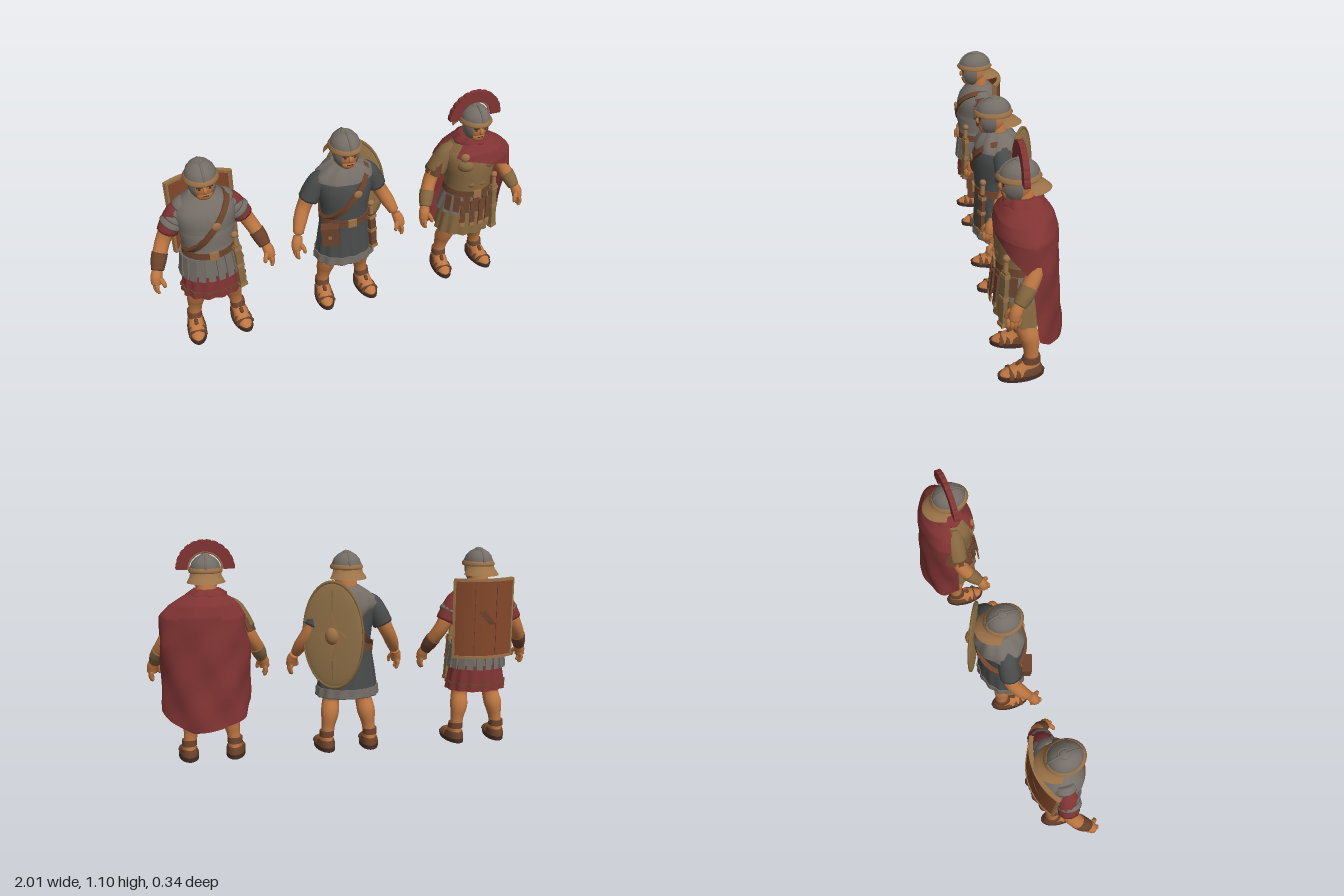
import * as THREE from 'three';
import { mergeVertices } from 'three/addons/utils/BufferGeometryUtils.js';
import { ParametricGeometry } from 'three/addons/geometries/ParametricGeometry.js';

const PI = Math.PI, V = (x, y, z) => new THREE.Vector3(x, y, z);
const M = {};
const palette = { skin: 0xbd7642, steel: 0x756e67, darkCloth: 0x494c4b, red: 0x803433, bronze: 0x9c7248,
  khaki: 0x866840, leather: 0x6c432c, darkLeather: 0x493026, shieldBrown: 0x84482a, shieldTan: 0x94744a };
for (const [name, color] of Object.entries(palette)) {
  M[name] = new THREE.MeshStandardMaterial({ color, side: THREE.DoubleSide });
  M[name].name = name;
}

function add(g, name, geo, mat, pos = [0, 0, 0], rot = [0, 0, 0], scale = [1, 1, 1]) {
  const m = new THREE.Mesh(geo, mat);
  m.name = name;
  m.position.set(...pos); m.rotation.set(...rot); m.scale.set(...scale);
  g.add(m);
  return m;
}

// Elliptical cross-sections [y, rx, rz, cz, waveAmp] joined in loops; angle 0 faces +z, growing toward +x
function loft(sections, { waves = 0, a0 = 0, a1 = 2 * PI, n = 40 } = {}) {
  let s = sections.map(r => [...r]);
  if (s[0][0] > s[s.length - 1][0]) s.reverse();
  if (a1 - a0 > 6.28) {
    const f = s[0], l = s[s.length - 1];
    s = [[f[0], 0, 0, f[3]], [...f], ...s, [...l], [l[0], 0, 0, l[3]]];
  }
  const p = [], idx = [];
  s.forEach(([y, rx, rz, cz = 0, amp = 0], i) => {
    for (let j = 0; j <= n; j++) {
      const a = a0 + (a1 - a0) * j / n, k = amp * Math.sin(a * waves);
      p.push((rx + k) * Math.sin(a), y, cz + (rz + k) * Math.cos(a));
      if (i && j) {
        const b = i * (n + 1) + j, d = b - n - 1;
        idx.push(d - 1, d, b, d - 1, b, b - 1);
      }
    }
  });
  const geo = new THREE.BufferGeometry();
  geo.setAttribute('position', new THREE.Float32BufferAttribute(p, 3));
  geo.setIndex(idx);
  geo.computeVertexNormals();
  return geo;
}

// Round limb through points [x, y, z, radius]
function limb(pts, sides = 12, rows = 16) {
  const curve = new THREE.CatmullRomCurve3(pts.map(p => V(p[0], p[1], p[2])));
  const geo = new THREE.TubeGeometry(curve, rows, 1, sides), pos = geo.attributes.position, v = V(0, 0, 0);
  for (let i = 0; i <= rows; i++) {
    const t = i / rows, c = curve.getPointAt(t), f = t * (pts.length - 1), k = Math.min(Math.floor(f), pts.length - 2);
    const r = i % rows ? THREE.MathUtils.lerp(pts[k][3], pts[k + 1][3], f - k) : 0;
    for (let j = 0; j <= sides; j++) {
      const id = i * (sides + 1) + j;
      v.fromBufferAttribute(pos, id).sub(c).multiplyScalar(r).add(c);
      pos.setXYZ(id, v.x, v.y, v.z);
    }
  }
  geo.deleteAttribute('uv'); geo.deleteAttribute('normal');
  const out = mergeVertices(geo);
  out.computeVertexNormals();
  return out;
}
const mirror = (pts, s) => pts.map(([x, y, z, r]) => [x * s, y, z, r]);
const ball = new THREE.SphereGeometry(1, 20, 14);
const box = (w, h, d) => new THREE.BoxGeometry(w, h, d);

// Piecewise-linear lookup in a table of [key, value...]
function look(table, x, c) {
  let k = 0;
  while (k < table.length - 2 && table[k + 1][0] < x) k++;
  const t = THREE.MathUtils.clamp((x - table[k][0]) / (table[k + 1][0] - table[k][0]), 0, 1);
  return THREE.MathUtils.lerp(table[k][c], table[k + 1][c], t);
}

// Torso outline, and shells that follow it
const TORSO = [[0.50, 0.125, 0.102, 0.025], [0.58, 0.112, 0.1, 0.025], [0.66, 0.126, 0.108, 0.025], [0.74, 0.14, 0.11, 0.02],
  [0.785, 0.136, 0.1, 0.014], [0.82, 0.1, 0.078, 0.01], [0.845, 0.055, 0.055, 0.012]];
const torsoAt = (y, grow) => [y, look(TORSO, y, 1) + grow, look(TORSO, y, 2) + grow, look(TORSO, y, 3)];
const shell = (y0, y1, grow, flare = 0) =>
  loft([0, .2, .4, .6, .8, 1].map(t => torsoAt(y0 + (y1 - y0) * t, grow + flare * (1 - t))));

// Hanging strips around the hips
function strips(g, name, mat, y0, y1, grow, count, a0 = 0, a1 = 2 * PI) {
  for (let i = 0; i < count; i++) {
    const a = a0 + (a1 - a0) * (i + 0.5) / count;
    const m = add(g, name, box(0.034, y1 - y0, 0.008), mat,
      [(0.138 + grow) * Math.sin(a), (y0 + y1) / 2, 0.025 + (0.11 + grow) * Math.cos(a)], [0, a, 0]);
    m.rotateX(-0.12);
  }
}

const ARM = [[0.12, 0.77, 0.008, 0.042], [0.16, 0.7, 0, 0.044], [0.203, 0.62, 0, 0.037], [0.24, 0.55, 0.035, 0.035], [0.266, 0.49, 0.078, 0.023]];
function body(g) {
  add(g, 'neck', loft([[0.81, 0.055, 0.05, 0.01], [0.9, 0.045, 0.045, 0.022]]), M.skin);
  add(g, 'head', ball, M.skin, [0, 0.912, 0.042], [0, 0, 0], [0.059, 0.076, 0.068]);
  add(g, 'jaw', ball, M.skin, [0, 0.872, 0.064], [0, 0, 0], [0.043, 0.034, 0.043]);
  add(g, 'nose', limb([[0, 0.925, 0.104, 0.006], [0, 0.905, 0.113, 0.009], [0, 0.896, 0.107, 0.009]]), M.skin);
  add(g, 'mouth', box(0.03, 0.004, 0.006), M.darkLeather, [0, 0.875, 0.105]);
  for (const s of [1, -1]) {
    add(g, 'eye', ball, M.darkLeather, [s * 0.022, 0.915, 0.102], [0, 0, 0], [0.01, 0.005, 0.005]);
    add(g, 'eyebrow', box(0.03, 0.008, 0.008), M.darkLeather, [s * 0.023, 0.927, 0.103], [0, s * 0.3, -s * 0.1]);
    add(g, 'arm', limb(mirror(ARM, s)), M.skin);
    add(g, 'palm', limb(mirror([[0.264, 0.5, 0.072, 0.023], [0.277, 0.465, 0.092, 0.028], [0.282, 0.43, 0.1, 0.025]], s)), M.skin);
    for (let f = 0; f < 4; f++) {
      const z = 0.078 + f * 0.015, x = 0.281 + (f % 3 ? 0.005 : 0);
      add(g, 'finger', limb(mirror([[x, 0.445, z, 0.01], [x + 0.004, 0.412, z + 0.003, 0.01], [x - 0.006, 0.38 + Math.abs(f - 1.5) * 0.006, z + 0.004, 0.007]], s), 8, 8), M.skin);
    }
    add(g, 'thumb', limb(mirror([[0.264, 0.47, 0.105, 0.012], [0.25, 0.445, 0.125, 0.011], [0.246, 0.418, 0.128, 0.008]], s), 8, 8), M.skin);
    add(g, 'leg', limb(mirror([[0.07, 0.4, 0.02, 0.064], [0.08, 0.31, 0.022, 0.053], [0.088, 0.25, 0.02, 0.043], [0.097, 0.19, -0.004, 0.047],
      [0.107, 0.12, -0.01, 0.034], [0.112, 0.06, -0.012, 0.032]], s), 14, 24), M.skin);
    // Sandalled foot, toes turned slightly outward
    const foot = new THREE.Group();
    foot.name = 'foot'; foot.position.x = s * 0.115; foot.rotation.y = s * 0.1;
    g.add(foot);
    add(foot, 'sole', loft([[0, 0.049, 0.106, 0.037], [0.022, 0.049, 0.109, 0.037]]), M.darkLeather);
    add(foot, 'bareFoot', loft([[0.02, 0.043, 0.1, 0.037], [0.036, 0.041, 0.094, 0.033], [0.052, 0.037, 0.07, 0.018], [0.075, 0.034, 0.045, -0.005], [0.1, 0.03, 0.034, -0.012]]), M.skin);
    add(foot, 'sandalUpper', loft([[0.02, 0.046, 0.078, 0.014], [0.04, 0.044, 0.068, 0.007], [0.056, 0.039, 0.054, 0]]), M.leather);
    add(foot, 'ankleStrap', loft([[0.075, 0.038, 0.045, -0.008], [0.105, 0.037, 0.038, -0.012]]), M.leather);
    add(foot, 'instepStrap', limb([[0, 0.06, 0.062, 0.01], [0, 0.085, 0.034, 0.01]], 8, 6), M.leather);
    for (const [z, h] of [[0.092, 0.03], [0.062, 0.039]])
      add(foot, 'footStrap', new THREE.TorusGeometry(1, 0.16, 6, 14, PI), M.leather, [0, 0.018, z], [-0.25, 0, 0], [0.042, h, 0.075]);
  }
}

function helmet(g) {
  add(g, 'helmetDome', loft([[0.938, 0.074, 0.084, 0.035], [0.965, 0.073, 0.083, 0.035], [0.988, 0.064, 0.073, 0.033], [1.007, 0.047, 0.055, 0.031], [1.02, 0.026, 0.03, 0.028]]), M.steel);
  add(g, 'helmetKnob', ball, M.steel, [0, 1.02, 0.028], [0, 0, 0], [0.022, 0.01, 0.024]);
  add(g, 'helmetRidge', new THREE.TorusGeometry(1, 0.06, 6, 20, PI), M.steel, [0, 0.948, 0.034], [0, PI / 2, 0], [0.085, 0.078, 0.1]);
  add(g, 'helmetBrim', loft([[0.938, 0.081, 0.09, 0.036], [0.949, 0.083, 0.098, 0.036], [0.962, 0.075, 0.086, 0.036]]), M.bronze);
  add(g, 'neckGuard', loft([[0.942, 0.077, 0.082, 0.03], [0.922, 0.08, 0.09, 0.027], [0.91, 0.088, 0.107, 0.022], [0.893, 0.097, 0.125, 0.02]], { a0: 1.85, a1: 4.43 }), M.bronze);
  for (const a of [0.72 * PI, -0.08 * PI])
    add(g, 'cheekGuard', new THREE.SphereGeometry(1, 14, 12, a, 0.36 * PI, 0.4 * PI, 0.46 * PI), M.steel, [0, 0.918, 0.046], [0, 0, 0], [0.065, 0.084, 0.073]);
}

const SLEEVE = [[0.08, 0.79, 0.012, 0.035], [0.12, 0.765, 0.008, 0.05], [0.155, 0.71, 0.002, 0.052], [0.186, 0.645, 0, 0.052]];
const sleeves = (g, mat) => [1, -1].forEach(s => add(g, 'sleeve', limb(mirror(SLEEVE, s)), mat));
const bracers = (g, mat) => [1, -1].forEach(s =>
  add(g, 'bracer', limb(mirror([[0.234, 0.562, 0.028, 0.039], [0.247, 0.535, 0.045, 0.037], [0.266, 0.487, 0.078, 0.029]], s)), mat));
const skirt = (g, name, mat, y0, y1, grow, amp) => add(g, name, loft([[y1, 0.122 + grow, 0.104 + grow, 0.025],
  [(y0 + y1) / 2, 0.143 + grow, 0.11 + grow, 0.025, amp / 2], [y0, 0.16 + grow, 0.117 + grow, 0.025, amp]], { waves: 14, n: 84 }), mat);
function belt(g) {
  add(g, 'belt', shell(0.53, 0.565, 0.012), M.leather);
  add(g, 'beltBuckle', box(0.045, 0.042, 0.012), M.bronze, [0, 0.548, 0.139]);
}
function shoulderStrap(g) {
  add(g, 'shoulderStrap', loft([[-0.014, 0.18, 0.13], [0.014, 0.18, 0.13]]), M.leather, [-0.005, 0.685, 0.022], [0, 0, 0.87]);
  add(g, 'strapBuckle', ball, M.bronze, [0.025, 0.725, 0.15], [0, 0, 0], [0.022, 0.022, 0.008]);
}
function sword(g, mat, length) {
  const s = new THREE.Group();
  s.name = 'sword'; s.position.set(0.115, 0.56, 0.108); s.rotation.set(-0.08, 0.35, 0.05);
  g.add(s);
  add(s, 'scabbard', box(0.036, length, 0.02), mat, [0, -length / 2, 0]);
  for (const y of [-0.02, -length * 0.5, -length]) add(s, 'scabbardFitting', box(0.042, 0.018, 0.026), M.bronze, [0, y, 0]);
  add(s, 'hilt', new THREE.CylinderGeometry(0.01, 0.012, 0.06, 10), M.bronze, [0, 0.03, 0]);
  add(s, 'pommel', ball, M.bronze, [0, 0.062, 0], [0, 0, 0], [0.018, 0.016, 0.016]);
}

// Curved slab bulging to the back
function arcPlate(g, name, mat, a, b, r0, r1, y0, y1) {
  const sh = new THREE.Shape();
  sh.absarc(0, -0.184, r1, PI / 2 + a, PI / 2 + b, false);
  sh.absarc(0, -0.184, r0, PI / 2 + b, PI / 2 + a, true);
  add(g, name, new THREE.ExtrudeGeometry(sh, { depth: y1 - y0, bevelEnabled: false, curveSegments: 16 }), mat, [0, y0, 0], [-PI / 2, 0, 0]);
}

function bandedSoldier() {
  const g = new THREE.Group();
  body(g); helmet(g);
  sleeves(g, M.red);
  skirt(g, 'tunicSkirt', M.red, 0.285, 0.5, 0, 0.006);
  add(g, 'tunicStripe', loft([[0.318, 0.161, 0.118, 0.025, 0.006], [0.328, 0.16, 0.117, 0.025, 0.006]], { waves: 14, n: 84 }), M.leather);
  add(g, 'breastplate', shell(0.68, 0.845, 0.008), M.steel);
  for (let i = 0; i < 4; i++) add(g, 'torsoBand', shell(0.55 + i * 0.036, 0.592 + i * 0.036, 0.004, 0.007), M.steel);
  for (const s of [1, -1]) for (let i = 0; i < 4; i++) {
    const x = 0.07 + i * 0.022, y = 0.802 - i * 0.025;
    add(g, 'shoulderBand', limb(mirror([[x, y, 0.01, 0.045], [x + 0.014, y - 0.016, 0.008, 0.056], [x + 0.027, y - 0.036, 0.006, 0.061]], s), 16, 8), M.steel);
  }
  skirt(g, 'hipPanel', M.steel, 0.425, 0.54, 0, 0.003);
  strips(g, 'hipStrip', M.steel, 0.405, 0.53, 0.01, 20);
  belt(g); shoulderStrap(g); bracers(g, M.leather); sword(g, M.khaki, 0.24);
  // Curved rectangular shield on the back
  arcPlate(g, 'shieldBoard', M.shieldBrown, -0.56, 0.56, 0.278, 0.289, 0.475, 0.875);
  for (const y of [0.468, 0.868]) arcPlate(g, 'shieldTrim', M.bronze, -0.58, 0.58, 0.273, 0.294, y, y + 0.014);
  for (const a of [-0.57, 0.57]) arcPlate(g, 'shieldTrim', M.bronze, a - 0.022, a + 0.022, 0.273, 0.294, 0.47, 0.88);
  for (const a of [-0.2, 0.2]) arcPlate(g, 'shieldRib', M.leather, a - 0.006, a + 0.006, 0.285, 0.291, 0.48, 0.87);
  return g;
}

function clothSoldier() {
  const g = new THREE.Group();
  body(g); helmet(g);
  sleeves(g, M.darkCloth);
  add(g, 'tunic', shell(0.5, 0.845, 0.006), M.darkCloth);
  skirt(g, 'tunicSkirt', M.darkCloth, 0.285, 0.55, 0, 0.004);
  add(g, 'hemBand', loft([[0.29, 0.163, 0.12, 0.025, 0.004], [0.335, 0.159, 0.118, 0.025, 0.004]], { waves: 14, n: 84 }), M.steel);
  add(g, 'scarf', loft([[0.775, 0.148, 0.112, 0.018, 0.002], [0.8, 0.14, 0.105, 0.016, 0.004], [0.828, 0.105, 0.09, 0.014, 0.004], [0.855, 0.062, 0.064, 0.016, 0.002]], { waves: 9, n: 64 }), M.steel);
  // Scarf point hanging between the shoulder blades
  add(g, 'scarfDrape', loft([[0.66, 0.03, 0.107, 0.012], [0.72, 0.12, 0.118, 0.012, 0.003], [0.77, 0.155, 0.12, 0.014, 0.004], [0.83, 0.1, 0.09, 0.012, 0.004]], { a0: 1.8, a1: 4.48, waves: 9 }), M.steel);
  belt(g); shoulderStrap(g);
  // Satchel at the right hip
  add(g, 'satchel', box(0.085, 0.1, 0.045), M.leather, [-0.11, 0.49, 0.122], [0, -0.4, 0.1]);
  add(g, 'satchelFlap', box(0.09, 0.055, 0.052), M.leather, [-0.11, 0.52, 0.122], [0, -0.4, 0.1]);
  add(g, 'satchelClasp', box(0.016, 0.02, 0.056), M.bronze, [-0.11, 0.495, 0.122], [0, -0.4, 0.1]);
  sword(g, M.leather, 0.2);
  // Oval shield slung on the left of the back
  const sh = new THREE.Group();
  sh.name = 'ovalShield'; sh.position.set(0.092, 0.62, -0.085); sh.rotation.y = -0.52;
  g.add(sh);
  add(sh, 'shieldFace', ball, M.shieldTan, [0, 0, 0], [0, 0, 0], [0.158, 0.268, 0.018]);
  add(sh, 'shieldRim', new THREE.TorusGeometry(1, 0.035, 8, 48), M.khaki, [0, 0, 0], [0, 0, 0], [0.157, 0.267, 0.2]);
  const star = new THREE.Shape();
  for (let i = 0; i < 8; i++) {
    const a = i * PI / 4, r = i % 2 ? 0.45 : 1;
    star[i ? 'lineTo' : 'moveTo'](0.075 * r * Math.cos(a), 0.115 * r * Math.sin(a));
  }
  add(sh, 'shieldStar', new THREE.ExtrudeGeometry(star, { depth: 0.009, bevelEnabled: false }), M.bronze, [0, 0, -0.022]);
  add(sh, 'shieldBoss', ball, M.bronze, [0, 0, -0.015], [0, 0, 0], [0.036, 0.045, 0.028]);
  for (const s of [1, -1]) add(sh, 'shieldSpine', box(0.006, 0.1, 0.004), M.khaki, [0, s * 0.175, -0.013], [s * 0.07, 0, 0]);
  return g;
}

function officer() {
  const g = new THREE.Group();
  body(g); helmet(g);
  sleeves(g, M.khaki);
  skirt(g, 'tunicSkirt', M.khaki, 0.285, 0.5, 0, 0.006);
  skirt(g, 'armourSkirt', M.steel, 0.42, 0.54, -0.002, 0.004);
  add(g, 'cuirass', shell(0.53, 0.845, 0.009), M.khaki);
  for (const s of [1, -1]) {
    add(g, 'chestMuscle', ball, M.khaki, [s * 0.055, 0.72, 0.09], [0, 0, 0], [0.055, 0.042, 0.05]);
    for (const y of [0.605, 0.642, 0.678]) add(g, 'bellyMuscle', ball, M.khaki, [s * 0.026, y, 0.118], [0, 0, 0], [0.026, 0.02, 0.02]);
  }
  for (let i = 0; i < 5; i++) {
    const a = i * 0.6 - 1.2;
    add(g, 'shoulderStrip', box(0.008, 0.085, 0.028), M.leather, [-0.212 + 0.012 * Math.abs(i - 2), 0.69, 0.052 * Math.sin(a)], [0, a * 0.7, -0.45]);
  }
  strips(g, 'hipStrip', M.leather, 0.44, 0.53, 0.008, 7, -1.3, 1.3);
  for (const x of [-0.075, -0.025, 0.025, 0.07]) {
    add(g, 'apronStrip', box(0.026, 0.15, 0.006), M.leather, [x, 0.44, 0.157 - x * x * 2.5], [-0.1, x * 3, 0]);
    add(g, 'apronTip', box(0.028, 0.022, 0.008), M.bronze, [x, 0.372, 0.163 - x * x * 2.5], [-0.1, x * 3, 0]);
  }
  belt(g); bracers(g, M.khaki); sword(g, M.khaki, 0.26);
  // Cloak: over the chest and left shoulder, long down the back
  const hem = [[-0.8, 0.775], [0, 0.745], [0.5, 0.71], [1.2, 0.64], [1.5, 0.585], [1.64, 0.45], [1.74, 0.27], [2.1, 0.22], [2.7, 0.175], [3.4, 0.19], [4.1, 0.23], [4.55, 0.3]];
  const fall = [[0.15, 0.2, 0.172], [0.4, 0.2, 0.16], [0.6, 0.208, 0.15], [0.73, 0.196, 0.14], [0.785, 0.16, 0.125], [0.82, 0.115, 0.098], [0.857, 0.06, 0.06]];
  add(g, 'cloak', new ParametricGeometry((u, v, out) => {
    const a = -0.8 + u * 5.35, y = 0.857 + (look(hem, a, 1) - 0.857) * Math.pow(v, 0.9);
    const left = 0.034 * Math.max(0, Math.sin(a)) * Math.min(1, (0.857 - y) * 9);
    const fold = (0.87 - y) * 0.011 * Math.sin(a * 6 + y * 13) + 0.003 * Math.sin(a * 5 - y * 26) * Math.min(1, v * 4);
    out.set((look(fall, y, 1) + fold + left) * Math.sin(a), y, 0.012 + (look(fall, y, 2) + fold) * Math.cos(a));
  }, 140, 44), M.red);
  add(g, 'cloakRoll', loft([[0.82, 0.095, 0.085, 0.015, 0.003], [0.838, 0.098, 0.09, 0.015, 0.004], [0.86, 0.064, 0.064, 0.018, 0.003]], { waves: 8, n: 64 }), M.red);
  add(g, 'cloakBrooch', ball, M.bronze, [-0.08, 0.775, 0.118], [0, -0.4, 0], [0.024, 0.024, 0.012]);
  // Transverse crest with a scalloped edge
  const fan = new THREE.Shape();
  for (let i = 0; i <= 48; i++) {
    const a = PI * i / 48, r = 0.143 - (i % 4 ? 0 : 0.004);
    fan[i ? 'lineTo' : 'moveTo'](r * Math.cos(a), r * Math.sin(a));
  }
  fan.absarc(0, 0, 0.086, PI, 0, true);
  add(g, 'crest', new THREE.ExtrudeGeometry(fan, { depth: 0.026, bevelEnabled: false, curveSegments: 24 }), M.red, [0, 0.953, 0.013]);
  add(g, 'crestHolder', new THREE.TorusGeometry(0.083, 0.006, 8, 32, PI), M.bronze, [0, 0.953, 0.026]);
  return g;
}

export function createModel() {
  const root = new THREE.Group();
  [['bandedArmourSoldier', bandedSoldier], ['clothTunicSoldier', clothSoldier], ['cloakedOfficer', officer]].forEach(([name, make], i) => {
    const g = make();
    g.name = name;
    g.position.x = (i - 1) * 0.7;
    root.add(g);
  });
  return root;
}
